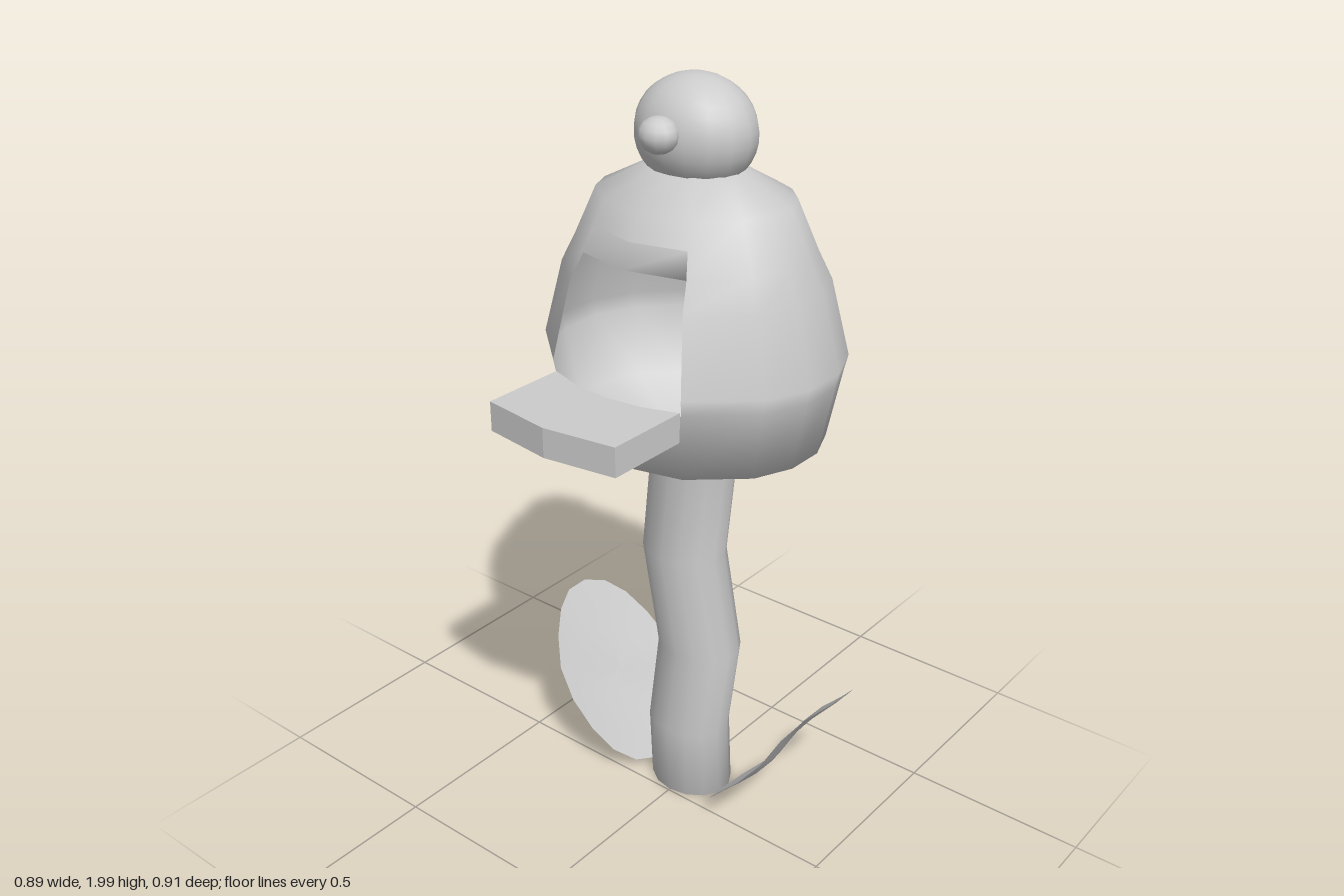
import * as THREE from 'three';

const material = new THREE.MeshStandardMaterial({ color: 0xcccccc, side: THREE.DoubleSide });
const CX = 0.1; // axis of stem, body and knob

// Smooth surface through elliptical rows [y, cx, cz, rx, rz] at the given angles (degrees)
function loft(rows, angles, closed = true, skip = () => false) {
  const pos = [], index = [], n = angles.length;
  for (const [y, cx, cz, rx, rz] of rows) {
    for (const deg of angles) {
      const a = THREE.MathUtils.degToRad(deg);
      pos.push(cx + rx * Math.cos(a), y, cz + rz * Math.sin(a));
    }
  }
  for (let i = 0; i < rows.length - 1; i++) {
    for (let j = 0; j < (closed ? n : n - 1); j++) {
      if (skip(i, angles[j])) continue;
      const k = (j + 1) % n, a = i * n + j, b = a + n, c = i * n + k, d = c + n;
      index.push(a, b, c, b, d, c);
    }
  }
  const g = new THREE.BufferGeometry();
  g.setAttribute('position', new THREE.Float32BufferAttribute(pos, 3));
  g.setIndex(index);
  g.computeVertexNormals();
  return g;
}

function add(parent, name, geometry) {
  const mesh = new THREE.Mesh(geometry, material);
  mesh.name = name;
  parent.add(mesh);
  return mesh;
}

// Broad, wavy leaf leaning outwards; side is +1 (front) or -1 (back)
function leafGeometry(side) {
  const g = new THREE.RingGeometry(0, 1, 18, 4);
  const p = g.attributes.position;
  for (let i = 0; i < p.count; i++) {
    const u = p.getX(i), v = p.getY(i);
    const wave = 0.012 * (u * u + v * v - 1) + 0.011 * Math.sin(4 * v + 2.5 * u);
    const x = 0.135 + 0.205 * u * (1 + 0.12 * v * v - 0.08 * v);
    const y = 0.23 + 0.225 * v + wave * 0.5;
    const z = 0.285 + 0.165 * v - wave * 0.8;
    p.setXYZ(i, x, Math.max(0, y), side * z);
  }
  // Mirroring reverses the faces, so turn them back
  if (side < 0) {
    const idx = g.index;
    for (let i = 0; i < idx.count; i += 3) {
      const t = idx.getX(i);
      idx.setX(i, idx.getX(i + 1));
      idx.setX(i + 1, t);
    }
  }
  g.computeVertexNormals();
  return g;
}

export function createModel() {
  const group = new THREE.Group();

  // Wavy stem with a closed foot
  const stemPath = [[0.01, 0], [0.21, -0.01], [0.47, 0.023], [0.75, -0.03], [1.045, 0]];
  const stemRows = stemPath.map(([y, z]) => [y, CX + 0.005, z, 0.1, 0.118]);
  stemRows.unshift([0.01, CX + 0.005, 0, 0, 0]);
  add(group, 'stem', loft(stemRows, Array.from({ length: 14 }, (_, i) => i * 360 / 14)));

  // Hollow bulbous body with an opening on the -x side
  const half = [20, 40, 60, 80, 100, 120, 150];
  const around = [0, ...half, 180, ...half.map((a) => 360 - a).reverse()];
  const body = [
    [1.035, 0.1, 0.115], [1.12, 0.303, 0.345], [1.3, 0.337, 0.381], [1.34, 0.345, 0.391],
    [1.53, 0.302, 0.34], [1.6, 0.262, 0.307], [1.72, 0.212, 0.253], [1.785, 0.1, 0.125], [1.785, 0, 0],
  ].map(([y, rx, rz]) => [y, CX, 0, rx, rz]);
  const inOpening = (i, deg) => i >= 2 && i <= 4 && deg >= 150 && deg < 210;
  add(group, 'body', loft(body, around, true, inOpening));

  // Thin lintel along the top of the opening
  const lintel = [[1.61, 0.24, 0.278], [1.6, 0.265, 0.31], [1.66, 0.241, 0.284]]
    .map(([y, rx, rz]) => [y, CX, 0, rx, rz]);
  add(group, 'lintel', loft(lintel, [150, 180, 210], false));

  // Shelf in front of the opening, with a bowed outer edge and an inner edge along the body
  const outline = new THREE.Shape([
    [-0.195, -0.19], [-0.42, -0.19], [-0.447, 0], [-0.42, 0.19], [-0.195, 0.19], [-0.225, 0.1], [-0.237, 0], [-0.225, -0.1],
  ].map(([x, y]) => new THREE.Vector2(x, y)));
  const shelf = new THREE.ExtrudeGeometry(outline, { depth: 0.075, bevelEnabled: false });
  add(group, 'shelf', shelf.rotateX(-Math.PI / 2).translate(0, 1.235, 0));

  // Round knob on top with a small ball on its side
  const knob = add(group, 'knob', new THREE.SphereGeometry(1, 16, 12, 0, Math.PI * 2, 0, 2.25));
  knob.scale.set(0.13, 0.135, 0.156);
  knob.position.set(CX, 1.865, 0);
  const ball = add(group, 'knobBall', new THREE.SphereGeometry(1, 12, 8));
  ball.scale.set(0.047, 0.043, 0.05);
  ball.position.set(-0.036, 1.882, 0);

  // Pair of leaves at the foot
  add(group, 'frontLeaf', leafGeometry(1));
  add(group, 'backLeaf', leafGeometry(-1));

  return group;
}
